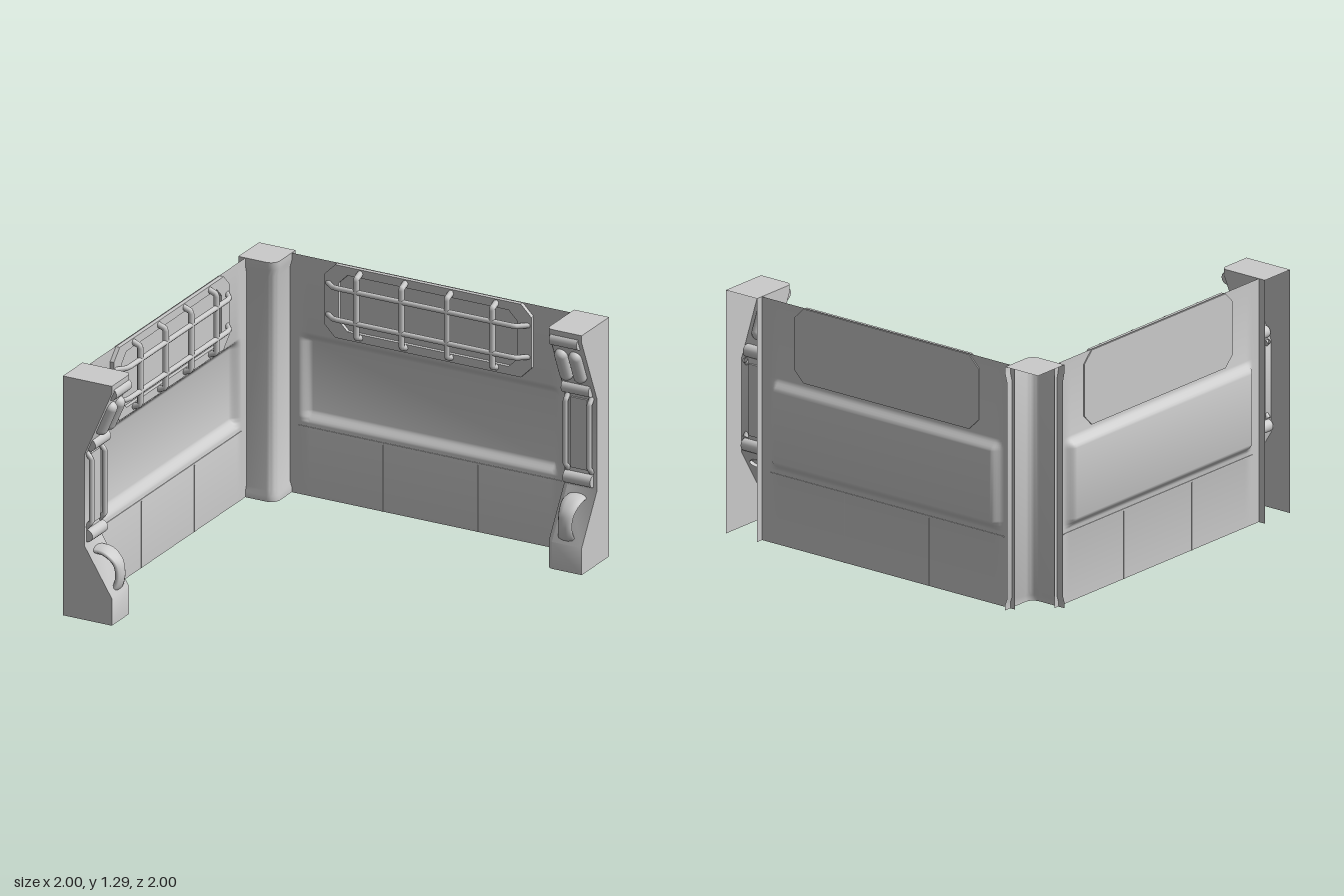
import * as THREE from 'three';
import { toCreasedNormals } from 'three/addons/utils/BufferGeometryUtils.js';

const material = new THREE.MeshStandardMaterial({ color: 0xcccccc, side: THREE.DoubleSide });
const TOP = 1.29;

function add(parent, name, geometry, x = 0, y = 0, z = 0) {
  const mesh = new THREE.Mesh(geometry, material);
  mesh.name = name;
  mesh.position.set(x, y, z);
  parent.add(mesh);
  return mesh;
}

// Surface through rows of [x, y, z] points
function loft(rows, crease = 0.6) {
  const n = rows[0].length, index = [];
  for (let i = 0; i < rows.length - 1; i++) {
    for (let j = 0; j < n - 1; j++) {
      const a = i * n + j, b = a + n;
      index.push(a, a + 1, b, a + 1, b + 1, b);
    }
  }
  const g = new THREE.BufferGeometry();
  g.setAttribute('position', new THREE.Float32BufferAttribute(rows.flat(2), 3));
  g.setIndex(index);
  return toCreasedNormals(g, crease);
}

// Round bar along a bent path
function bar(points, radius, straight = true) {
  const pts = points.map((p) => new THREE.Vector3(...p));
  const curve = new THREE.CatmullRomCurve3(pts, false, 'catmullrom', straight ? 0 : 0.5);
  return new THREE.TubeGeometry(curve, 36, radius, 10);
}

// Rectangle with cut corners
function octagon(w, h, c, Type = THREE.Shape) {
  return new Type([
    [-w + c, -h], [w - c, -h], [w, -h + c], [w, h - c],
    [w - c, h], [-w + c, h], [-w, h - c], [-w, -h + c],
  ].map((p) => new THREE.Vector2(...p)));
}

const ramp = (v, a, b) => THREE.MathUtils.smoothstep(v, a, b);

function createWall() {
  const wall = new THREE.Group();
  wall.name = 'wall';
  const base = -0.96;

  // Thin sheet with a long pocket pressed outwards
  const halfX = [0.69, 0.70, 0.71, 0.72, 0.73, 0.74, 0.75, 0.82];
  const xs = [...halfX.map((v) => -v).reverse(), ...halfX];
  const ys = [0, 0.39, 0.4, 0.41, 0.42, 0.43, 0.44, 0.45, 0.82, 0.83, 0.84, 0.85, 0.86, 0.87, 0.88, TOP];
  add(wall, 'wallSheet', loft(ys.map((y) => xs.map((x) => {
    const pocket = ramp(y, 0.39, 0.45) * (1 - ramp(y, 0.82, 0.88)) * (1 - ramp(Math.abs(x), 0.69, 0.75));
    return [x, y, base - 0.04 * pocket];
  }))));

  // Seams between the lower panels
  for (const x of [-0.27, 0.27]) add(wall, 'panelSeam', new THREE.BoxGeometry(0.005, 0.36, 0.006), x, 0.18, base);
  add(wall, 'lowerSeam', new THREE.BoxGeometry(1.5, 0.005, 0.006), 0, 0.37, base);

  // Window frame and the plate behind it
  const frame = octagon(0.59, 0.197, 0.06);
  frame.holes.push(octagon(0.51, 0.152, 0.05, THREE.Path));
  add(wall, 'windowFrame', new THREE.ExtrudeGeometry(frame, { depth: 0.022, bevelEnabled: false }), 0, 1.09, base);
  add(wall, 'windowBackPlate',
    new THREE.ExtrudeGeometry(octagon(0.59, 0.197, 0.06), { depth: 0.009, bevelEnabled: false }), 0, 1.09, base - 0.006);

  // Guard grille
  for (const y of [1.01, 1.18]) {
    add(wall, 'grilleRail', bar([[-0.575, y, -0.945], [-0.52, y, -0.898], [0.52, y, -0.898], [0.575, y, -0.945]], 0.014));
  }
  for (const x of [-0.388, -0.13, 0.13, 0.388]) {
    add(wall, 'grilleUpright', bar([[x, 0.917, -0.945], [x, 0.935, -0.9], [x, 1.25, -0.9], [x, 1.268, -0.945]], 0.016));
  }
  return wall;
}

// Hollow end pillar, open at the back; side = +1 has its outer face towards +x
function createPillar(side) {
  const pillar = new THREE.Group();
  pillar.name = 'endPillar';
  const profile = [[0, TOP], [0.28, TOP], [0.28, 1.25], [0.123, 0.89], [0.123, 0.4], [0.28, 0.145], [0.28, 0]];

  // Front skin with a rounded inner edge
  const across = [[0.1, 0], [-0.07, 0], [-0.084, 0.004], [-0.096, 0.016], [-0.1, 0.03]];
  add(pillar, 'pillarFront', loft(profile.map(([d, y]) =>
    across.map(([x, inset]) => [x * side, y, Math.max(0, d - inset)]))));

  // Side plates
  for (const [x, inset] of [[0.1, 0], [-0.1, 0.03]]) {
    const outline = [...profile.map(([d, y]) => new THREE.Vector2(Math.max(0, d - inset), y)), new THREE.Vector2(0, 0)];
    add(pillar, 'pillarSide', new THREE.ShapeGeometry(new THREE.Shape(outline)), x * side).rotation.y = -Math.PI / 2;
  }

  // Cross rollers
  for (const [d, y] of [[0.262, 1.235], [0.142, 0.938], [0.125, 0.445]]) {
    add(pillar, 'roller', new THREE.CylinderGeometry(0.033, 0.033, 0.158, 20), 0, y, d).rotation.z = Math.PI / 2;
  }

  // Slanted twin cushions
  for (const x of [-0.04, 0.04]) {
    add(pillar, 'cushion', new THREE.CapsuleGeometry(0.036, 0.13, 5, 14), x, 1.085, 0.212).rotation.x = 0.41;
  }

  // Middle panel with two upright rails
  add(pillar, 'middlePanel', new THREE.BoxGeometry(0.09, 0.38, 0.02), 0, 0.69, 0.123);
  for (const x of [-0.068, 0.068]) {
    add(pillar, 'uprightRail', bar([[x, 0.485, 0.115], [x, 0.52, 0.146], [x, 0.86, 0.146], [x, 0.895, 0.115]], 0.014));
  }

  // Curved grip, narrow in the middle
  const grip = bar([[0, 0.355, 0.13], [0, 0.35, 0.2], [0, 0.305, 0.257], [0, 0.24, 0.272], [0, 0.18, 0.26], [0, 0.15, 0.23]], 0.019, false);
  const p = grip.attributes.position;
  for (let i = 0; i < p.count; i++) {
    p.setX(i, p.getX(i) * (2.1 + 0.8 * Math.min(1, ((p.getY(i) - 0.25) / 0.1) ** 2)));
  }
  grip.computeVertexNormals();
  add(pillar, 'grip', grip);
  return pillar;
}

// Hollow corner post with a rounded inner edge and a closed top
function createCornerPost() {
  const path = [[0.21, 0]];
  for (let i = 0; i <= 8; i++) {
    const a = (i / 8) * Math.PI / 2;
    path.push([0.16 + 0.05 * Math.cos(a), 0.16 + 0.05 * Math.sin(a)]);
  }
  path.push([0, 0.21]);
  const levels = [[0, 1], [0.03, 1], [0.06, 0.95], [1.21, 0.95], [1.25, 1], [TOP, 1], [TOP, 0]];
  const post = new THREE.Group();
  post.name = 'cornerPost';
  add(post, 'postShell', loft(levels.map(([y, s]) => path.map(([x, z]) => [x * s, y, z * s]))));
  post.position.set(-1, 0, -1);
  return post;
}

export function createModel() {
  const model = new THREE.Group();
  model.name = 'cornerWall';

  // Each wing is a wall with a pillar at its free end
  for (const [name, side, turn] of [['backWing', 1, 0], ['rightWing', -1, Math.PI / 2]]) {
    const wing = new THREE.Group();
    wing.name = name;
    const pillar = createPillar(side);
    pillar.position.set(0.9 * side, 0, -1);
    wing.add(createWall(), pillar);
    wing.rotation.y = turn;
    model.add(wing);
  }
  model.add(createCornerPost());
  return model;
}
